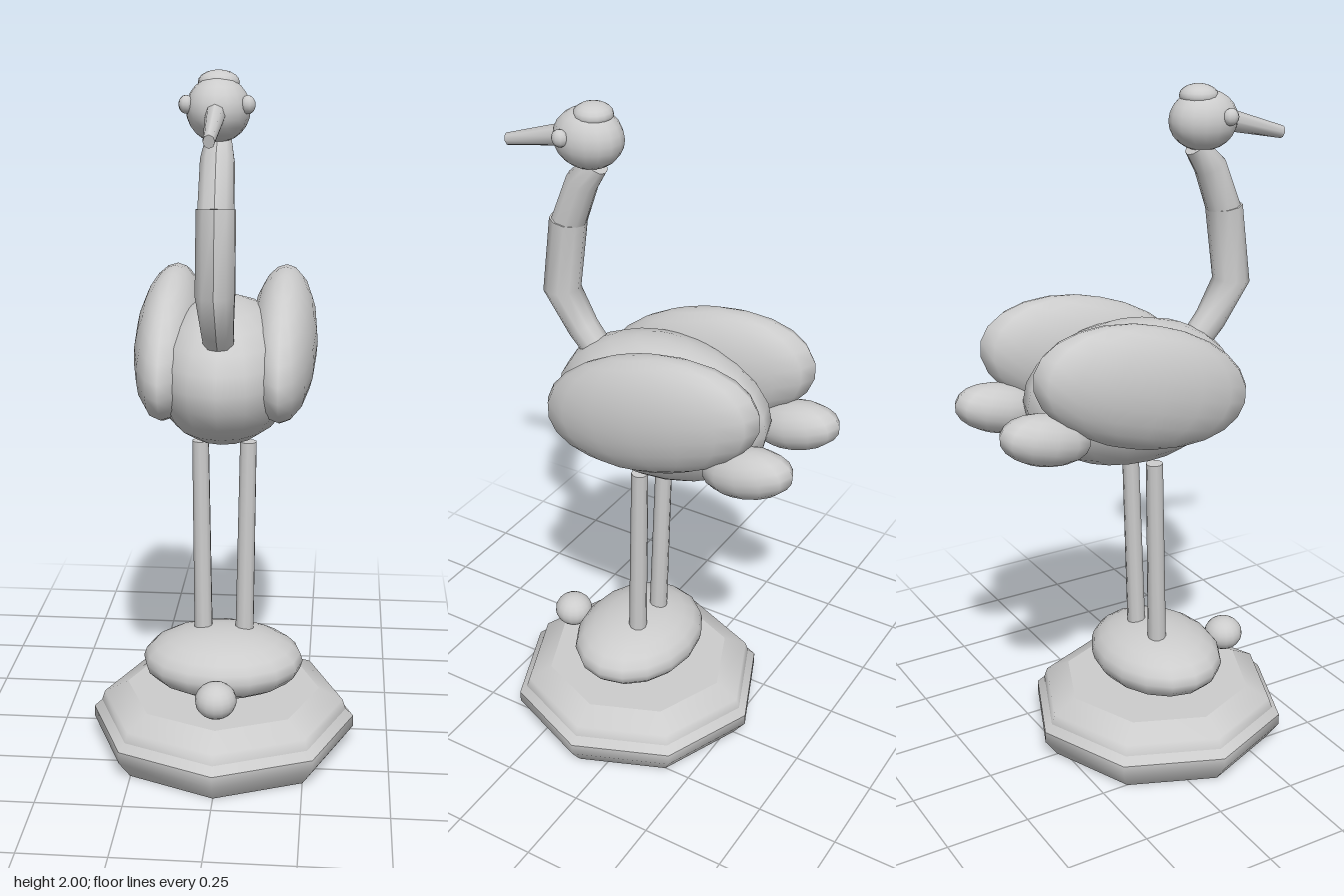
import * as THREE from 'three';

export function createModel() {
  const model = new THREE.Group();
  model.name = 'wadingBird';
  const plaster = new THREE.MeshStandardMaterial({ color: 0xcccccc });
  plaster.name = 'plain grey';

  function add(name, geometry) {
    const mesh = new THREE.Mesh(geometry, plaster);
    mesh.name = name;
    model.add(mesh);
    return mesh;
  }

  // Ellipsoid from centre, radii and tilt about x
  function egg(name, pos, radii, tilt = 0, w = 16, h = 12) {
    const mesh = add(name, new THREE.SphereGeometry(1, w, h));
    mesh.position.set(...pos);
    mesh.scale.set(...radii);
    mesh.rotation.x = tilt;
    return mesh;
  }

  // Straight tapered rod between two points
  function rod(name, from, to, r0, r1, sides) {
    const a = new THREE.Vector3(...from), b = new THREE.Vector3(...to);
    const dir = b.clone().sub(a);
    const mesh = add(name, new THREE.CylinderGeometry(r1, r0, dir.length(), sides));
    mesh.position.copy(a).add(b).multiplyScalar(0.5);
    mesh.quaternion.setFromUnitVectors(new THREE.Vector3(0, 1, 0), dir.normalize());
    return mesh;
  }

  // Bent tube in the x = 0 plane; each ring is [y, z, radius], bottom to top
  function bentTube(name, rings, sides = 10) {
    const n = rings.length - 1;
    const g = new THREE.CylinderGeometry(1, 1, 1, sides, n);
    const p = g.attributes.position;
    for (let i = 0; i < p.count; i++) {
      const k = Math.round((p.getY(i) + 0.5) * n);
      const [y, z, r] = rings[k];
      const lo = rings[Math.max(k - 1, 0)], hi = rings[Math.min(k + 1, n)];
      const dy = hi[0] - lo[0], dz = hi[1] - lo[1], len = Math.hypot(dy, dz);
      const side = p.getZ(i) * r;
      p.setXYZ(i, p.getX(i) * r, y - side * dz / len, z + side * dy / len);
    }
    g.computeVertexNormals();
    return add(name, g);
  }

  // Octagonal plinth; doubled points keep edges sharp
  const profile = [
    [0, 0], [0.355, 0], [0.355, 0], [0.395, 0.055], [0.395, 0.09], [0.395, 0.09],
    [0.372, 0.112], [0.372, 0.112], [0.362, 0.142], [0.29, 0.178], [0.29, 0.178], [0, 0.18],
  ].map(([x, y]) => new THREE.Vector2(x, y));
  add('plinth', new THREE.LatheGeometry(profile, 8)).position.z = 0.083;

  // Mound and pebble
  egg('mound', [0, 0.265, 0.08], [0.24, 0.097, 0.19]);
  egg('pebble', [0, 0.255, 0.335], [0.06, 0.053, 0.06]);

  // Body
  egg('body', [0, 1.145, -0.008], [0.21, 0.21, 0.333]);

  // Legs, wings and tail lobes
  for (const [label, s] of [['left', 1], ['right', -1]]) {
    rod(label + 'Leg', [s * 0.062, 0.34, 0.047], [s * 0.07, 0.935, 0.03], 0.028, 0.025, 10);
    egg(label + 'Wing', [s * 0.165, 1.215, -0.062], [0.1, 0.177, 0.353], 0.28);
    egg(label + 'TailLobe', [s * 0.145, 1.113, -0.36], [0.076, 0.073, 0.14], 0.24, 12, 10);
  }

  // Neck
  bentTube('lowerNeck', [
    [1.24, 0.19, 0.042], [1.32, 0.26, 0.046], [1.43, 0.33, 0.055], [1.65, 0.3, 0.054],
  ]);
  bentTube('upperNeck', [
    [1.64, 0.3, 0.05], [1.77, 0.25, 0.047], [1.83, 0.2, 0.034],
  ]);

  // Head, crown, eyes and beak
  egg('head', [0, 1.9, 0.225], [0.085, 0.085, 0.102]);
  egg('crown', [0, 1.968, 0.208], [0.055, 0.032, 0.055], 0, 16, 10);
  for (const [label, s] of [['left', 1], ['right', -1]]) {
    egg(label + 'Eye', [s * 0.08, 1.915, 0.263], [0.02, 0.024, 0.024], 0, 10, 8);
  }
  rod('beak', [0, 1.903, 0.27], [0, 1.843, 0.494], 0.034, 0.018, 8).scale.x = 0.85;

  return model;
}
